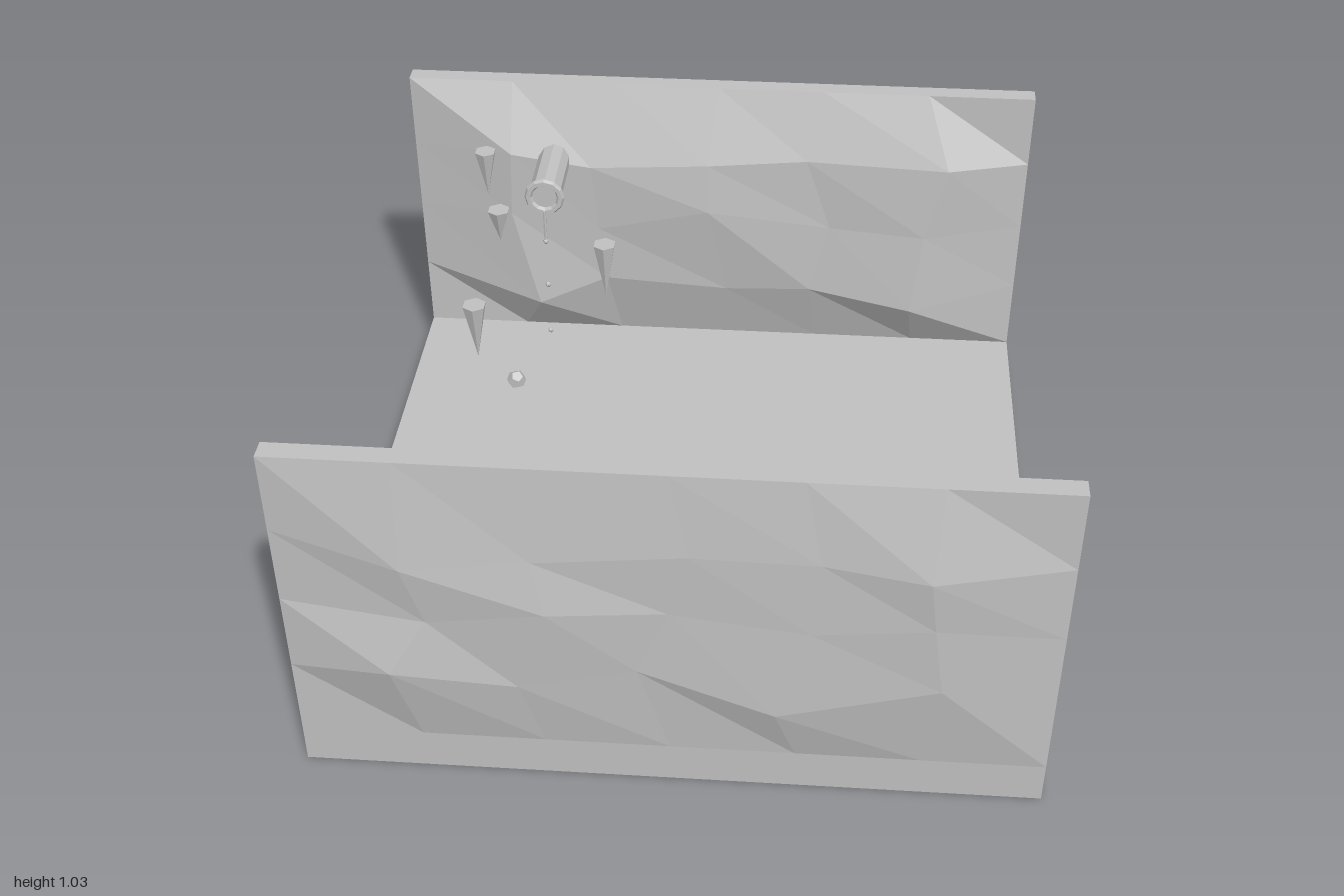
import * as THREE from 'three';

const W = 0.97, FLOOR = 0.12, TOP = 1.03;
const COLS = 6, ROWS = 4;

// Interior rock points as [x, y, bulge], rows from bottom to top
const OUTER = [
  [[-0.70, 0.39, 0.06], [-0.38, 0.345, 0.035], [-0.08, 0.41, 0.022], [0.27, 0.30, 0.046], [0.68, 0.41, 0.04]],
  [[-0.60, 0.55, 0.03], [-0.30, 0.61, 0.05], [0.0, 0.61, 0.02], [0.35, 0.58, 0.036], [0.65, 0.62, 0.045]],
  [[-0.65, 0.73, 0.045], [-0.33, 0.76, 0.026], [0.05, 0.80, 0.024], [0.37, 0.80, 0.03], [0.63, 0.78, 0.058]],
];
const INNER = [
  [[-0.60, 0.37, 0.042], [-0.28, 0.32, 0.03], [-0.05, 0.38, 0.038], [0.33, 0.34, 0.025], [0.62, 0.38, 0.04]],
  [[-0.66, 0.60, 0.028], [-0.36, 0.55, 0.036], [0.02, 0.60, 0.022], [0.28, 0.58, 0.035], [0.66, 0.55, 0.03]],
  [[-0.62, 0.80, 0.04], [-0.33, 0.78, 0.032], [-0.08, 0.82, 0.036], [0.30, 0.79, 0.024], [0.62, 0.80, 0.038]],
];
const BACK = [
  [[-0.58, 0.27, 0.10], [-0.36, 0.36, 0.07], [0.03, 0.33, 0.06], [0.30, 0.35, 0.075], [0.63, 0.30, 0.107]],
  [[-0.66, 0.60, 0.085], [-0.38, 0.55, 0.075], [-0.03, 0.64, 0.098], [0.36, 0.58, 0.065], [0.66, 0.57, 0.09]],
  [[-0.65, 0.82, 0.09], [-0.40, 0.78, 0.085], [-0.03, 0.80, 0.082], [0.28, 0.82, 0.065], [0.72, 0.81, 0.08]],
];

// Faceted rock face on a 6 x 4 grid with a flat rim, bulging along +z
function rockFace(points) {
  const at = (i, j) => (i > 0 && i < COLS && j > 0 && j < ROWS)
    ? points[j - 1][i - 1]
    : [-W + 2 * W * i / COLS, FLOOR + (TOP - FLOOR) * j / ROWS, 0];
  const pos = [];
  for (let j = 0; j < ROWS; j++) {
    for (let i = 0; i < COLS; i++) {
      const a = at(i, j), b = at(i + 1, j), c = at(i + 1, j + 1), d = at(i, j + 1);
      pos.push(...a, ...b, ...d, ...b, ...c, ...d);
    }
  }
  const geo = new THREE.BufferGeometry();
  geo.setAttribute('position', new THREE.Float32BufferAttribute(pos, 3));
  geo.computeVertexNormals();
  return geo;
}

export function createModel() {
  const model = new THREE.Group();
  model.name = 'caveRoom';
  const stone = new THREE.MeshStandardMaterial({ color: 0xc0c0c0, flatShading: true });
  stone.name = 'stone grey';

  const add = (name, geo, x, y, z) => {
    const mesh = new THREE.Mesh(geo, stone);
    mesh.name = name;
    mesh.position.set(x, y, z);
    model.add(mesh);
    return mesh;
  };
  const box = (name, x0, x1, y0, y1, z0, z1) => add(name,
    new THREE.BoxGeometry(x1 - x0, y1 - y0, z1 - z0),
    (x0 + x1) / 2, (y0 + y1) / 2, (z0 + z1) / 2);

  // Floor slab, two walls and the shallow pool
  box('floor', -W, W, 0, FLOOR, -1, 0.94);
  box('backWall', -W, W, FLOOR, TOP, -1, -0.945);
  box('frontWall', -W, W, FLOOR, TOP, 0.885, 0.94);
  box('pool', -0.63, 0.74, FLOOR, FLOOR + 0.006, -0.49, 0.53);

  // Rock relief on the walls
  add('backWallRock', rockFace(BACK), 0, 0, -0.945);
  add('frontWallOuterRock', rockFace(OUTER), 0, 0, 0.94);
  add('frontWallInnerRock', rockFace(INNER), 0, 0, 0.885).rotation.y = Math.PI;

  // Drain pipe with its rim
  const px = -0.515, py = 0.80;
  const pipe = new THREE.CylinderGeometry(0.05, 0.05, 0.3, 10).rotateX(Math.PI / 2);
  add('pipe', pipe, px, py, -0.795);
  add('pipeRim', new THREE.TorusGeometry(0.05, 0.012, 6, 12), px, py, -0.645);

  // Trickle and falling drops
  add('trickle', new THREE.CylinderGeometry(0.005, 0.005, 0.11, 6), px, 0.705, -0.626);
  for (const y of [0.652, 0.492, 0.317]) {
    add('drop', new THREE.SphereGeometry(0.009, 6, 5), px, y, -0.626);
  }

  // Hanging stalactites: x, z, length
  for (const [x, z, len] of [[-0.66, -0.51, 0.145], [-0.57, -0.19, 0.10],
    [-0.255, -0.035, 0.17], [-0.56, 0.28, 0.165]]) {
    const cone = new THREE.ConeGeometry(0.032, len, 6).rotateX(Math.PI);
    add('stalactite', cone, x, TOP - len / 2, z);
  }

  // Loose stones: x, y, z, radius
  [[-0.63, 0.143, -0.585, 0.031], [-0.545, 0.147, 0.19, 0.04], [0.055, 0.148, 0.2, 0.06],
    [-0.72, 0.147, 0.53, 0.044], [-0.41, 0.145, 0.65, 0.045]].forEach(([x, y, z, r], i) => {
    add('looseStone', new THREE.DodecahedronGeometry(r), x, y, z).rotation.set(i * 0.9, i * 1.7 + 0.4, i * 0.5);
  });

  return model;
}
